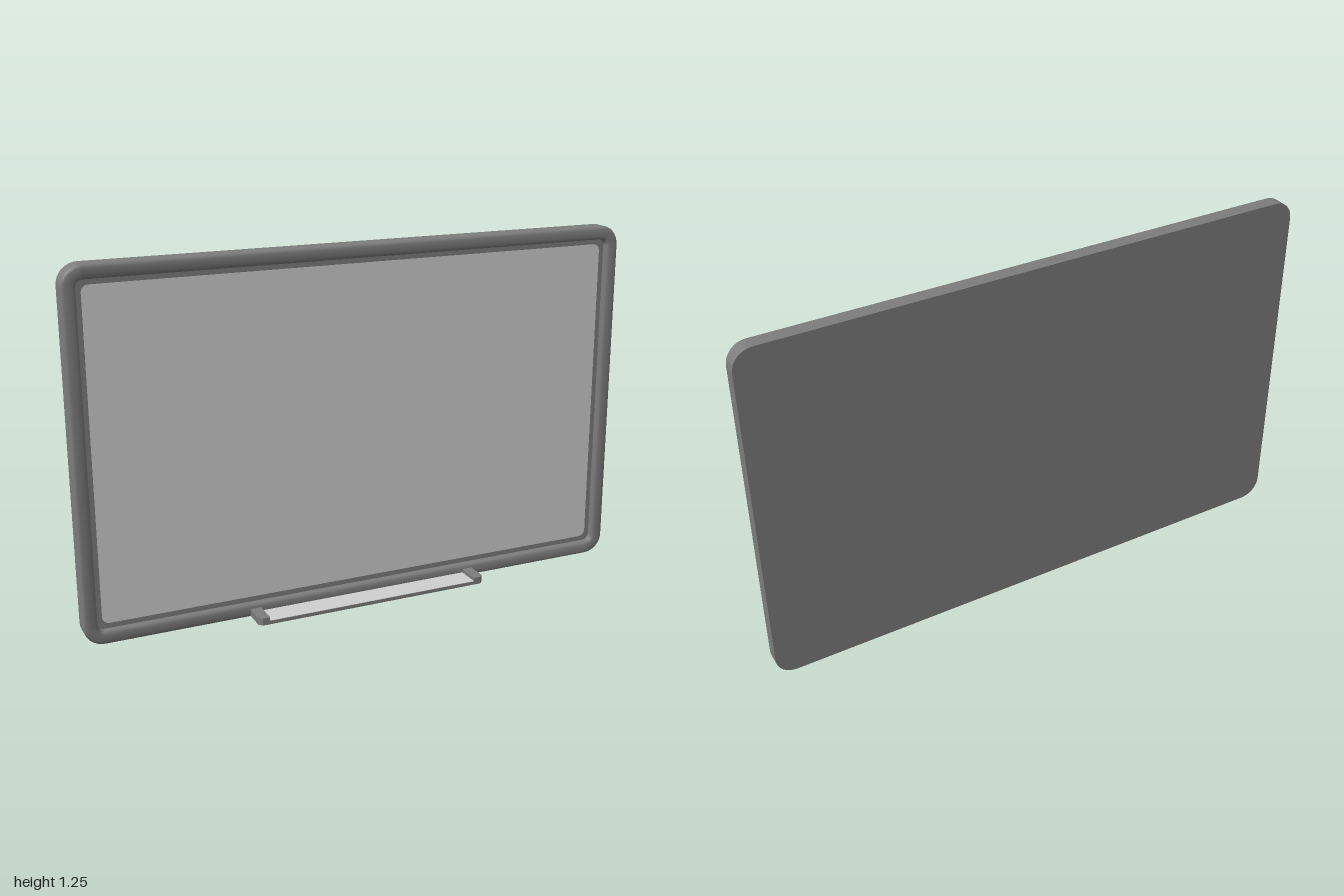
import * as THREE from 'three';

const W = 1, H = 0.627, R = 0.07, SEG = 8;

// Rounded rectangle, counter-clockwise, inset from the outer edge
function outline(inset) {
  const r = Math.max(R - inset, 0.025);
  const cx = W - inset - r, cy = H - inset - r;
  const pts = [];
  [[1, 1], [-1, 1], [-1, -1], [1, -1]].forEach(([sx, sy], c) => {
    for (let i = 0; i <= SEG; i++) {
      const a = (c + i / SEG) * Math.PI / 2;
      pts.push(new THREE.Vector2(sx * cx + r * Math.cos(a), H + sy * cy + r * Math.sin(a)));
    }
  });
  return pts;
}

// Sweep an [inset, z] profile round the outline
function sweep(profile) {
  const pos = [], index = [], n = 4 * (SEG + 1);
  profile.forEach(([inset, z], k) => {
    outline(inset).forEach((p) => pos.push(p.x, p.y, z));
    if (k === profile.length - 1) return;
    for (let i = 0; i < n; i++) {
      const a = k * n + i, b = k * n + (i + 1) % n;
      index.push(a, b, a + n, b, b + n, a + n);
    }
  });
  const g = new THREE.BufferGeometry();
  g.setAttribute('position', new THREE.Float32BufferAttribute(pos, 3));
  g.setIndex(index);
  g.computeVertexNormals();
  return g;
}

export function createModel() {
  const model = new THREE.Group();
  const grey = new THREE.MeshStandardMaterial({ color: 0x7d7d7d });
  grey.name = 'frame grey';
  const light = new THREE.MeshStandardMaterial({ color: 0xcfcfcf });
  light.name = 'board light grey';

  const add = (name, geometry, material, parent = model) => {
    const mesh = new THREE.Mesh(geometry, material);
    mesh.name = name;
    parent.add(mesh);
    return mesh;
  };

  // Frame: softly rounded rim, then a recessed ledge around the board
  add('frame', sweep([
    [0, -0.075], [0, -0.024], [0.004, -0.017], [0.012, -0.0125],
    [0.036, -0.0125], [0.045, -0.018], [0.048, -0.026], [0.048, -0.036],
  ]), grey);
  add('innerLedge', sweep([[0.048, -0.036], [0.075, -0.036]]), grey);

  // Writing surface and back panel
  const board = add('board', new THREE.ShapeGeometry(new THREE.Shape(outline(0.066))), light);
  board.position.z = -0.035;
  const back = add('backPanel', new THREE.ShapeGeometry(new THREE.Shape(outline(0))), grey);
  back.rotation.y = Math.PI;
  back.position.z = -0.075;

  // Pen tray: base, light top plate and two chamfered end blocks
  const tray = new THREE.Group();
  tray.name = 'penTray';
  model.add(tray);
  const base = add('trayBase', new THREE.BoxGeometry(0.79, 0.012, 0.095), grey, tray);
  base.position.set(0, 0.011, 0.0275);
  const plate = add('trayTop', new THREE.BoxGeometry(0.79, 0.002, 0.094), light, tray);
  plate.position.set(0, 0.0175, 0.0275);

  for (const side of [-1, 1]) {
    const s = new THREE.Shape([
      [0.392, -0.02], [0.43, -0.02], [0.43, 0.062], [0.418, 0.075], [0.392, 0.075],
    ].map(([x, z]) => new THREE.Vector2(side * x, -z)));
    const g = new THREE.ExtrudeGeometry(s, { depth: 0.026, bevelEnabled: false });
    g.rotateX(-Math.PI / 2);
    const end = add(side > 0 ? 'leftTrayEnd' : 'rightTrayEnd', g, grey, tray);
    end.position.y = 0.005;
  }
  return model;
}
